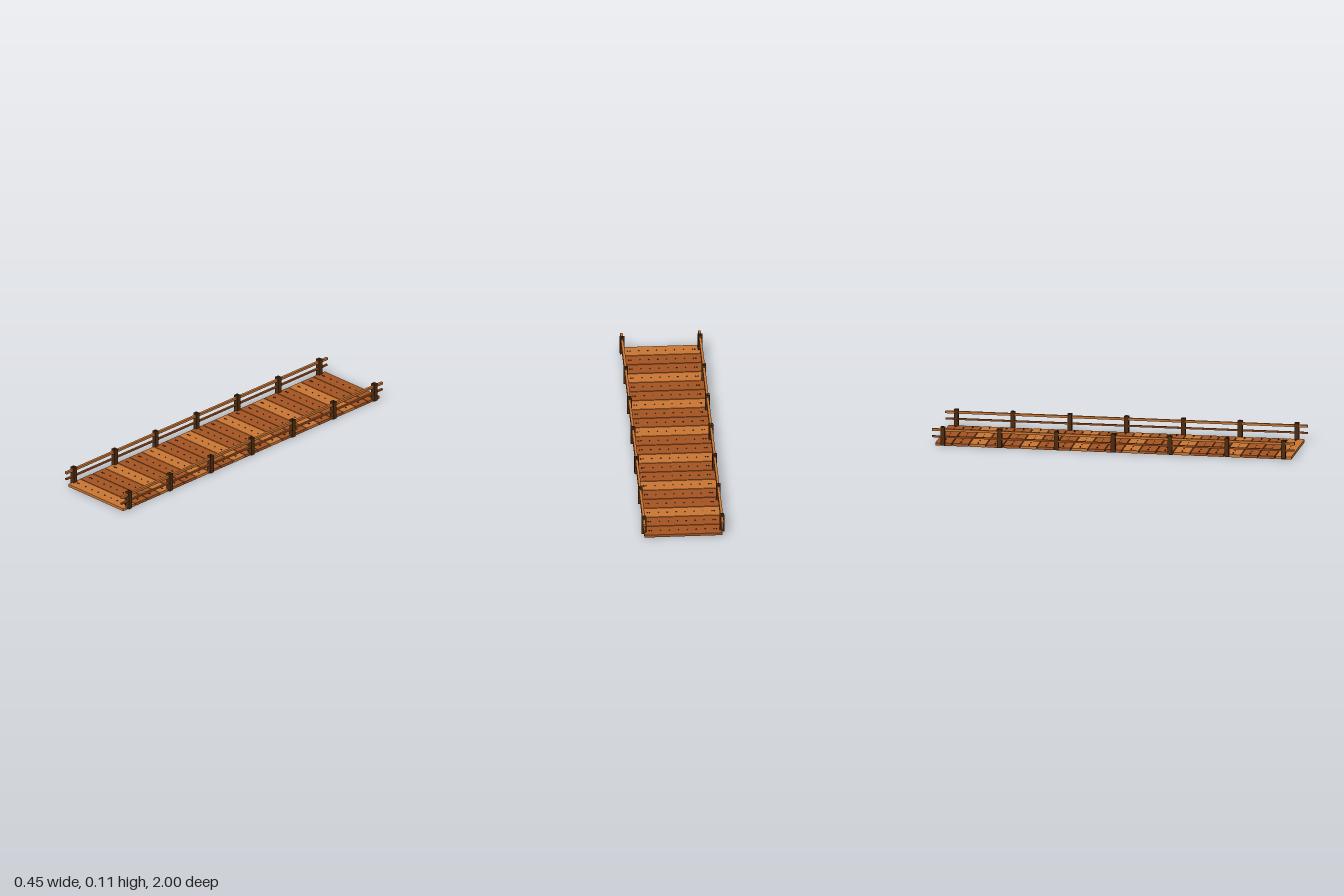
import * as THREE from 'three';

const paint = (name, color) => {
  const m = new THREE.MeshStandardMaterial({ color });
  m.name = name;
  return m;
};

export function createModel() {
  const darkWood = paint('dark plank wood', 0xa35322);
  const lightWood = paint('light plank wood', 0xc87533);
  const postWood = paint('post wood', 0x4d2b10);
  const iron = paint('nail iron', 0x33200f);

  const bridge = new THREE.Group();
  bridge.name = 'footbridge';

  const box = (parent, name, material, size, pos) => {
    const mesh = new THREE.Mesh(new THREE.BoxGeometry(...size), material);
    mesh.name = name;
    mesh.position.set(...pos);
    parent.add(mesh);
  };

  // Deck: every third plank is lighter
  const count = 21, pitch = 0.0938, thick = 0.015;
  const deck = new THREE.Group();
  deck.name = 'deck';
  bridge.add(deck);
  for (let i = 0; i < count; i++) {
    const z = (i - (count - 1) / 2) * pitch;
    box(deck, 'plank', i % 3 === 2 ? lightWood : darkWood,
      [0.424, thick, pitch - 0.005], [0, thick / 2, z]);
    // Row of small nails along the plank
    for (let n = 0; n < 8; n++) {
      box(deck, 'smallNail', iron, [0.006, 0.003, 0.004],
        [(n - 3.5) * 0.0487, thick + 0.0014, z]);
    }
    // Larger nail at each end
    for (const s of [-1, 1]) {
      box(deck, 'endNail', iron, [0.007, 0.003, 0.007], [s * 0.183, thick + 0.0014, z]);
    }
  }

  // Railings on both sides
  for (const s of [-1, 1]) {
    const railing = new THREE.Group();
    railing.name = s > 0 ? 'leftRailing' : 'rightRailing';
    bridge.add(railing);
    const x = s * 0.2125;
    for (let i = -3; i <= 3; i++) {
      const z = i * 0.3133;
      box(railing, 'post', postWood, [0.025, 0.102, 0.024], [x, 0.055, z]);
      box(railing, 'postNail', iron, [0.007, 0.003, 0.007], [x, 0.1073, z]);
    }
    box(railing, 'upperRail', lightWood, [0.014, 0.013, 2], [x, 0.0885, 0]);
    box(railing, 'lowerRail', darkWood, [0.011, 0.009, 2], [x, 0.051, 0]);
  }

  return bridge;
}
